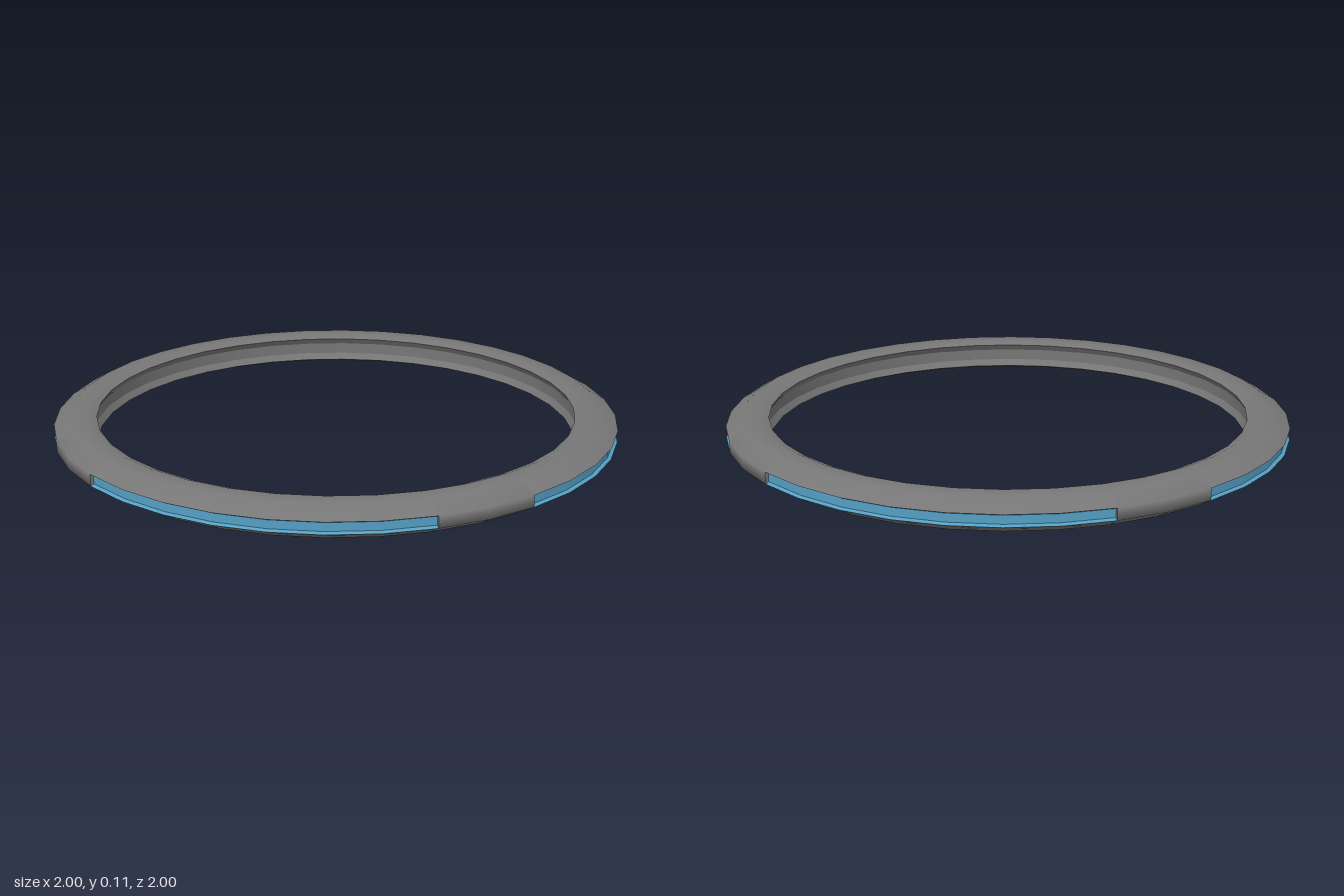
import * as THREE from 'three';
import { toCreasedNormals } from 'three/addons/utils/BufferGeometryUtils.js';

const STEP = Math.PI / 18; // the ring has 36 sides

const grey = new THREE.MeshStandardMaterial({ color: 0x777777 });
grey.name = 'ringGrey';
const blue = new THREE.MeshStandardMaterial({ color: 0x559fc4 });
blue.name = 'lightBlue';
const capGrey = grey;
capGrey.side = THREE.DoubleSide;

// Cross-sections as [radius, height], running anticlockwise
const lower = [[0.85, 0.012], [0.88, 0], [0.94, 0], [1, 0.036]];
const upper = [[1, 0.077], [0.94, 0.112], [0.88, 0.112], [0.85, 0.1]];
const inner = [[0.85, 0.1], [0.865, 0.077], [0.865, 0.036], [0.85, 0.012]];
const groove = [[1, 0.036], [0.988, 0.042], [0.988, 0.071], [1, 0.077]];

const toPoints = (list) => list.map(([r, y]) => new THREE.Vector2(r, y));

// Sweeps a profile over a number of ring sides
function sweep(name, profile, material, start, sides, crease) {
  let geo = new THREE.LatheGeometry(toPoints(profile), sides, start * STEP, sides * STEP);
  if (crease) geo = toCreasedNormals(geo, crease);
  const mesh = new THREE.Mesh(geo, material);
  mesh.name = name;
  return mesh;
}

export function createModel() {
  const ring = new THREE.Group();
  ring.name = 'ring';

  // Shallow channel around the inside
  ring.add(sweep('innerChannel', inner, grey, 0, 36, 0.4));

  for (let q = 0; q < 4; q++) {
    const start = q * 9;
    // Solid stretch between two light strips
    ring.add(sweep('solidSection', [...lower, ...upper], grey, start - 1, 2));
    // Shell above and below a light strip, and the recessed strip itself
    ring.add(sweep('lowerShell', lower, grey, start + 1, 7));
    ring.add(sweep('upperShell', upper, grey, start + 1, 7));
    ring.add(sweep('lightStrip', groove, blue, start + 1, 7, 0.4));
    // Small walls closing the ends of the recess
    for (const end of [1, 8]) {
      const cap = new THREE.Mesh(new THREE.ShapeGeometry(new THREE.Shape(toPoints(groove))), capGrey);
      cap.rotation.y = (start + end) * STEP - Math.PI / 2;
      cap.name = 'stripEnd';
      ring.add(cap);
    }
  }
  return ring;
}
